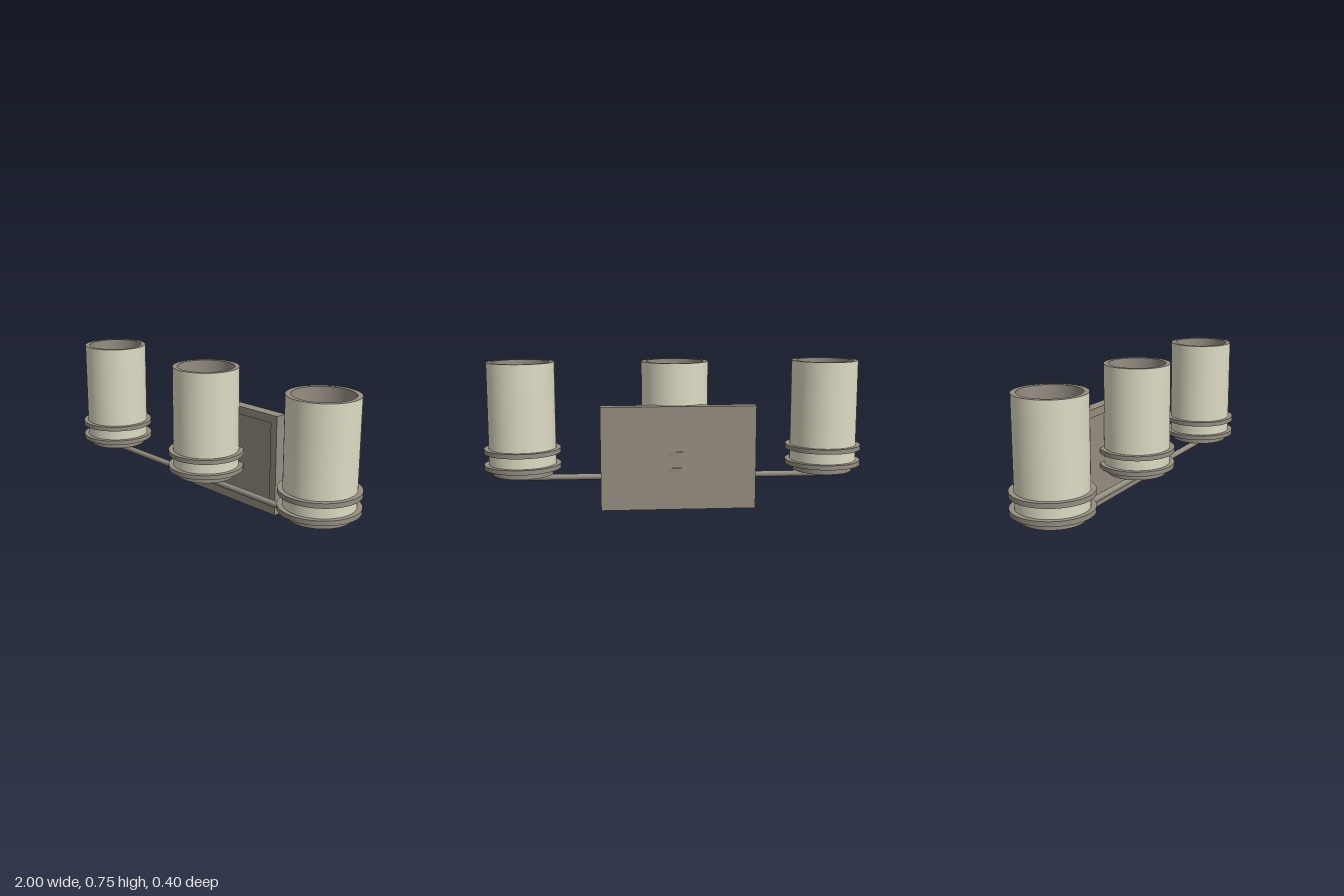
import * as THREE from 'three';

const metal = new THREE.MeshStandardMaterial({ color: 0x958e82 });
metal.name = 'brushed metal';
const ivory = new THREE.MeshStandardMaterial({ color: 0xdedcc4 });
ivory.name = 'ivory glass';

const SEGMENTS = 64;

function add(parent, name, geometry, material, x = 0, y = 0, z = 0) {
  const mesh = new THREE.Mesh(geometry, material);
  mesh.name = name;
  mesh.position.set(x, y, z);
  parent.add(mesh);
  return mesh;
}

// Solid disc between two heights
function disc(radius, y0, y1) {
  return new THREE.CylinderGeometry(radius, radius, y1 - y0, SEGMENTS).translate(0, (y0 + y1) / 2, 0);
}

// Flat-sided collar; the doubled corners keep its edges sharp
function collar(inner, outer, y0, y1) {
  const corners = [[inner, y0], [outer, y0], [outer, y1], [inner, y1], [inner, y0]];
  const points = [];
  for (let i = 0; i < 4; i++) {
    points.push(new THREE.Vector2(...corners[i]), new THREE.Vector2(...corners[i + 1]));
  }
  return new THREE.LatheGeometry(points, SEGMENTS);
}

function rectangle(Path, x0, y0, x1, y1) {
  return new Path([[x0, y0], [x1, y0], [x1, y1], [x0, y1]].map(p => new THREE.Vector2(...p)));
}

// Open glass shade in its metal holder
function createLamp() {
  const lamp = new THREE.Group();
  add(lamp, 'holderBase', disc(0.157, 0.16, 0.194), metal);
  add(lamp, 'lowerRing', disc(0.2, 0.193, 0.217), metal);
  add(lamp, 'upperRing', collar(0.165, 0.2, 0.276, 0.3), metal);
  const outside = new THREE.CylinderGeometry(0.175, 0.175, 0.535, SEGMENTS, 1, true);
  add(lamp, 'shade', outside, ivory, 0, 0.4825, 0);
  // Inner wall and top rim
  const lining = [[0.15, 0.75], [0.15, 0.215]].map(p => new THREE.Vector2(...p));
  add(lamp, 'shadeLining', new THREE.LatheGeometry(lining, SEGMENTS), metal);
  const rim = new THREE.RingGeometry(0.15, 0.175, SEGMENTS).rotateX(-Math.PI / 2);
  add(lamp, 'shadeRim', rim, metal, 0, 0.75, 0);
  return lamp;
}

export function createModel() {
  const model = new THREE.Group();
  model.name = 'wallLight';

  // Wall plate with a recessed front panel
  const plate = new THREE.Group();
  plate.name = 'wallPlate';
  const outline = rectangle(THREE.Shape, -0.405, 0, 0.391, 0.535);
  outline.holes.push(rectangle(THREE.Path, -0.363, 0.045, 0.349, 0.492));
  const frame = new THREE.ExtrudeGeometry(outline, { depth: 0.025, bevelEnabled: false });
  add(plate, 'plateFrame', frame, metal, 0, 0, -0.155);
  add(plate, 'plateBack', new THREE.BoxGeometry(0.796, 0.535, 0.04), metal, -0.007, 0.2675, -0.175);
  model.add(plate);

  // Crossbar and the arm joining it to the plate
  const bar = new THREE.CylinderGeometry(0.016, 0.016, 1.6, 24).rotateZ(Math.PI / 2);
  add(model, 'crossbar', bar, metal, -0.008, 0.136, 0.004);
  const arm = new THREE.CylinderGeometry(0.016, 0.016, 0.162, 24).rotateX(Math.PI / 2);
  add(model, 'supportArm', arm, metal, 0, 0.136, -0.077);

  // Row of three lamps
  [['rightLamp', -0.8], ['middleLamp', 0], ['leftLamp', 0.8]].forEach(([name, x]) => {
    const lamp = createLamp();
    lamp.name = name;
    lamp.position.x = x;
    model.add(lamp);
  });
  // Faces of the lining point towards the lamp axis
  model.traverse(part => {
    if (part.name !== 'shadeLining') return;
    const normals = part.geometry.attributes.normal;
    const positions = part.geometry.attributes.position;
    for (let i = 0; i < normals.count; i++) {
      normals.setXYZ(i, -positions.getX(i) / 0.15, 0, -positions.getZ(i) / 0.15);
    }
  });
  return model;
}
